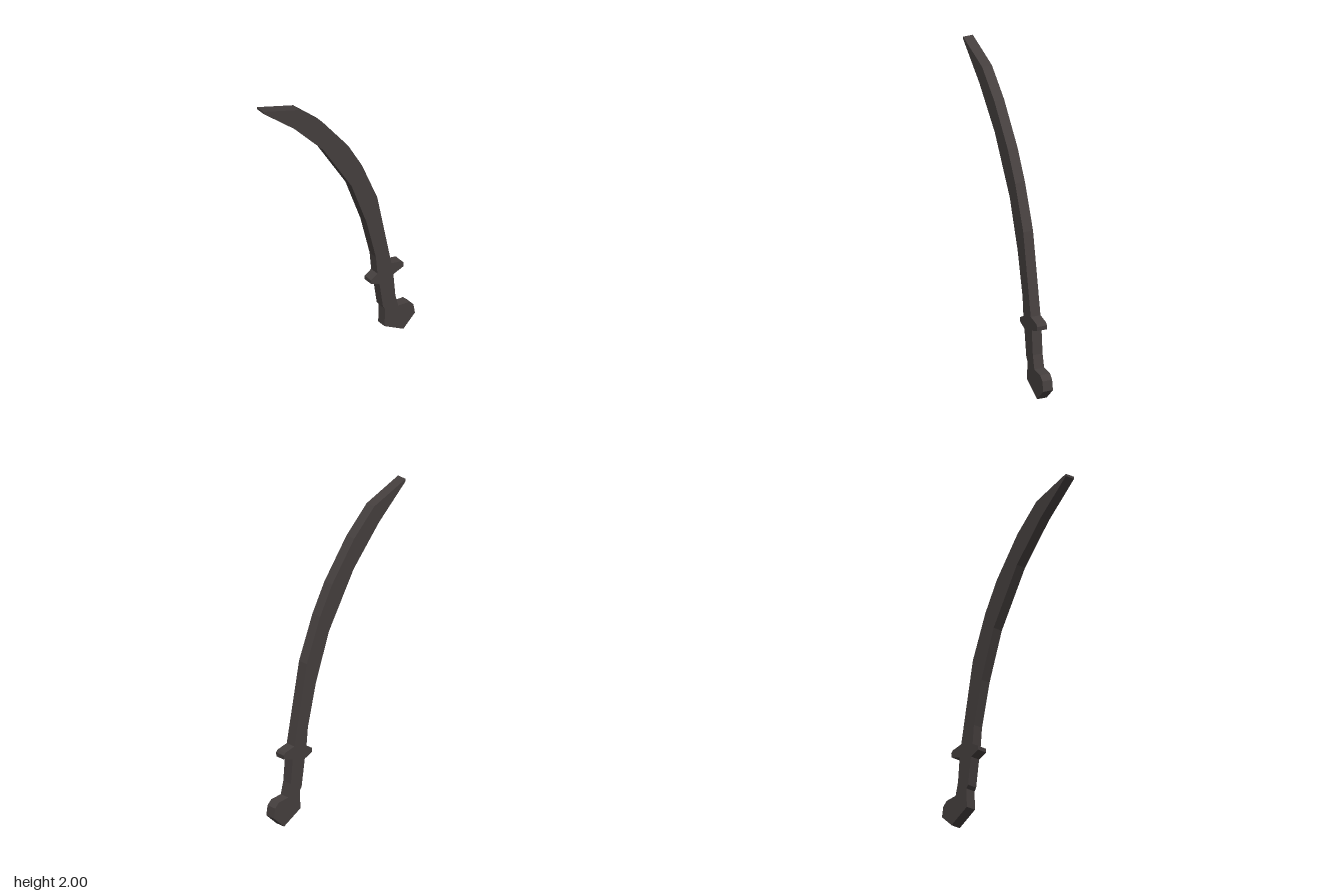
import * as THREE from 'three';

const THICKNESS = 0.066;

// Extrudes a side outline of [z, y] points across x, centred on x = 0
function plate(name, points, material) {
  const shape = new THREE.Shape(points.map(([z, y]) => new THREE.Vector2(z, y)));
  const geometry = new THREE.ExtrudeGeometry(shape, { depth: THICKNESS, bevelEnabled: false });
  geometry.translate(0, 0, -THICKNESS / 2);
  geometry.rotateY(-Math.PI / 2);
  const mesh = new THREE.Mesh(geometry, material);
  mesh.name = name;
  return mesh;
}

export function createModel() {
  const darkIron = new THREE.MeshStandardMaterial({ color: 0x453f3e });
  darkIron.name = 'darkIron';

  const group = new THREE.Group();
  group.name = 'curvedSword';

  // Curved blade: outer edge from guard to tip, then back down the inner edge
  group.add(plate('blade', [
    [-0.395, 0.515], [-0.288, 1.04], [-0.172, 1.32], [-0.067, 1.505], [0.125, 1.75],
    [0.3, 1.908], [0.573, 2], [0.573, 1.985], [0.34, 1.785], [0.12, 1.545],
    [-0.095, 1.195], [-0.208, 0.885], [-0.278, 0.605], [-0.29, 0.48],
  ], darkIron));

  // Crossguard with blunt ends
  group.add(plate('guard', [
    [-0.395, 0.515], [-0.29, 0.48], [-0.24, 0.45], [-0.24, 0.425], [-0.305, 0.4],
    [-0.41, 0.43], [-0.485, 0.457], [-0.488, 0.485], [-0.475, 0.5],
  ], darkIron));

  // Narrow grip
  group.add(plate('grip', [
    [-0.305, 0.4], [-0.332, 0.22], [-0.347, 0.2], [-0.447, 0.185], [-0.425, 0.27], [-0.41, 0.43],
  ], darkIron));

  // Angular pommel
  group.add(plate('pommel', [
    [-0.347, 0.2], [-0.343, 0.075], [-0.485, 0], [-0.573, 0.085], [-0.562, 0.15],
    [-0.53, 0.18], [-0.447, 0.185],
  ], darkIron));

  return group;
}
